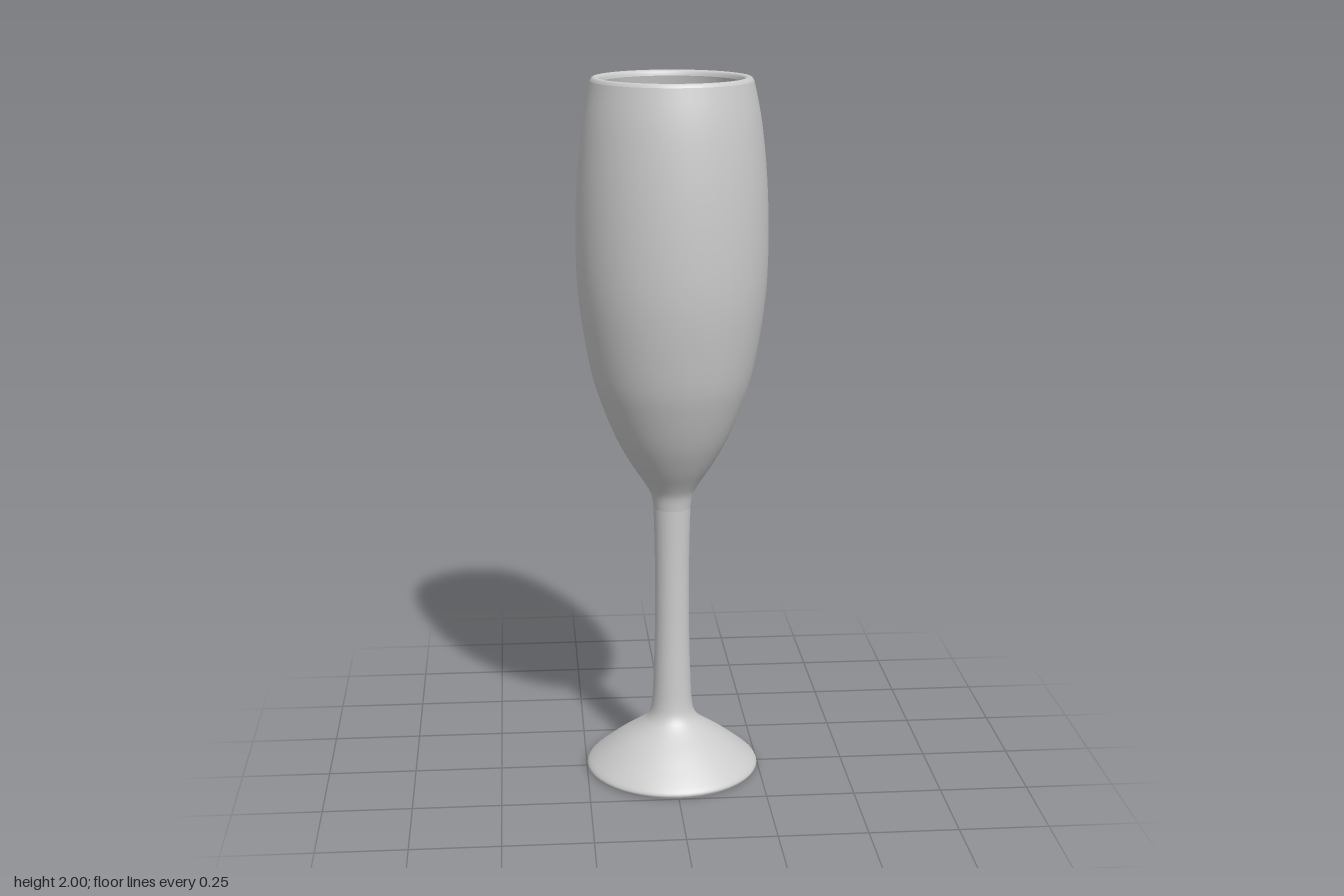
import * as THREE from 'three';

const SEGMENTS = 48;

// Smooth profile through a few [radius, height] points
function smooth(points, count) {
  const curve = new THREE.SplineCurve(points.map(([r, y]) => new THREE.Vector2(r, y)));
  return curve.getPoints(count).map((p) => new THREE.Vector2(Math.max(p.x, 0), p.y));
}

export function createModel() {
  const glass = new THREE.Group();
  glass.name = 'champagneFlute';
  const material = new THREE.MeshStandardMaterial({ color: 0xcccccc });

  function addTurned(name, profile) {
    const mesh = new THREE.Mesh(new THREE.LatheGeometry(profile, SEGMENTS), material);
    mesh.name = name;
    glass.add(mesh);
  }

  // Hollow underside of the foot
  addTurned('footUnderside', smooth([[0, 0.09], [0.06, 0.075], [0.15, 0.037], [0.245, 0]], 12));

  // Conical foot flaring out from the stem
  addTurned('foot', smooth([
    [0.245, 0], [0.248, 0.012], [0.225, 0.035], [0.16, 0.086], [0.095, 0.131],
    [0.068, 0.16], [0.058, 0.2], [0.054, 0.27],
  ], 32));

  // Slim stem, narrowest at mid height
  addTurned('stem', smooth([[0.054, 0.27], [0.05, 0.4], [0.049, 0.55], [0.05, 0.68], [0.053, 0.79]], 12));

  // Outside of the bowl
  addTurned('bowlOutside', smooth([
    [0.053, 0.79], [0.06, 0.83], [0.078, 0.864], [0.115, 0.92], [0.159, 1.0], [0.199, 1.1],
    [0.228, 1.2], [0.257, 1.38], [0.265, 1.54], [0.26, 1.72], [0.244, 1.88], [0.222, 1.99],
  ], 44));

  // Rounded lip
  addTurned('lip', smooth([[0.222, 1.99], [0.216, 1.999], [0.207, 2], [0.198, 1.997], [0.194, 1.985]], 10));

  // Inside of the bowl, down to its small floor
  addTurned('bowlInside', smooth([
    [0.194, 1.985], [0.216, 1.87], [0.232, 1.72], [0.237, 1.54], [0.229, 1.38], [0.2, 1.2],
    [0.171, 1.1], [0.13, 1.0], [0.085, 0.93], [0.05, 0.89], [0, 0.88],
  ], 40));

  return glass;
}
